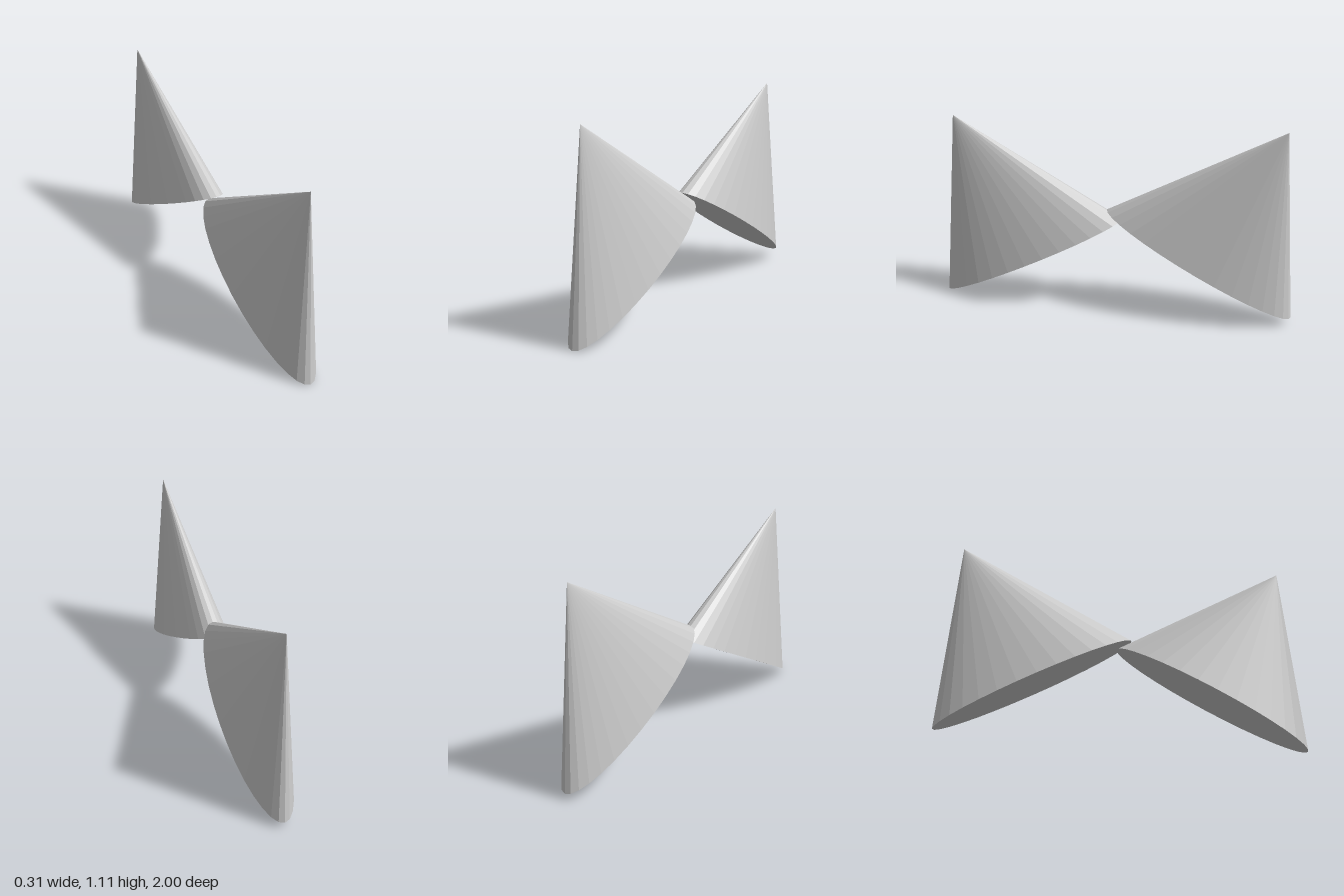
import * as THREE from 'three';

const material = new THREE.MeshStandardMaterial({ color: 0xcccccc, flatShading: true });
const HALF_WIDTH = 0.155;

// Flattened cone given by its apex and the two ends of its base, each as [y, z]
function flatCone(name, apex, low, high) {
  const cy = (low[0] + high[0]) / 2;
  const cz = (low[1] + high[1]) / 2;
  const radius = Math.hypot(high[0] - low[0], high[1] - low[1]) / 2;
  const height = Math.hypot(apex[0] - cy, apex[1] - cz);

  const geometry = new THREE.ConeGeometry(1, height, 32);
  geometry.translate(0, height / 2, 0);
  geometry.scale(HALF_WIDTH, 1, radius);

  const cone = new THREE.Mesh(geometry, material);
  cone.name = name;
  cone.position.set(0, cy, cz);
  cone.rotation.x = Math.atan2(apex[1] - cz, apex[0] - cy);
  return cone;
}

export function createModel() {
  const model = new THREE.Group();
  model.name = 'crossedCones';
  // The two cones lean away from each other and overlap at the middle
  model.add(
    flatCone('frontCone', [1.087, 0.9], [0.003, 1], [0.551, -0.042]),
    flatCone('rearCone', [1.119, -0.91], [0.041, -1], [0.6, 0.042]),
  );
  return model;
}
